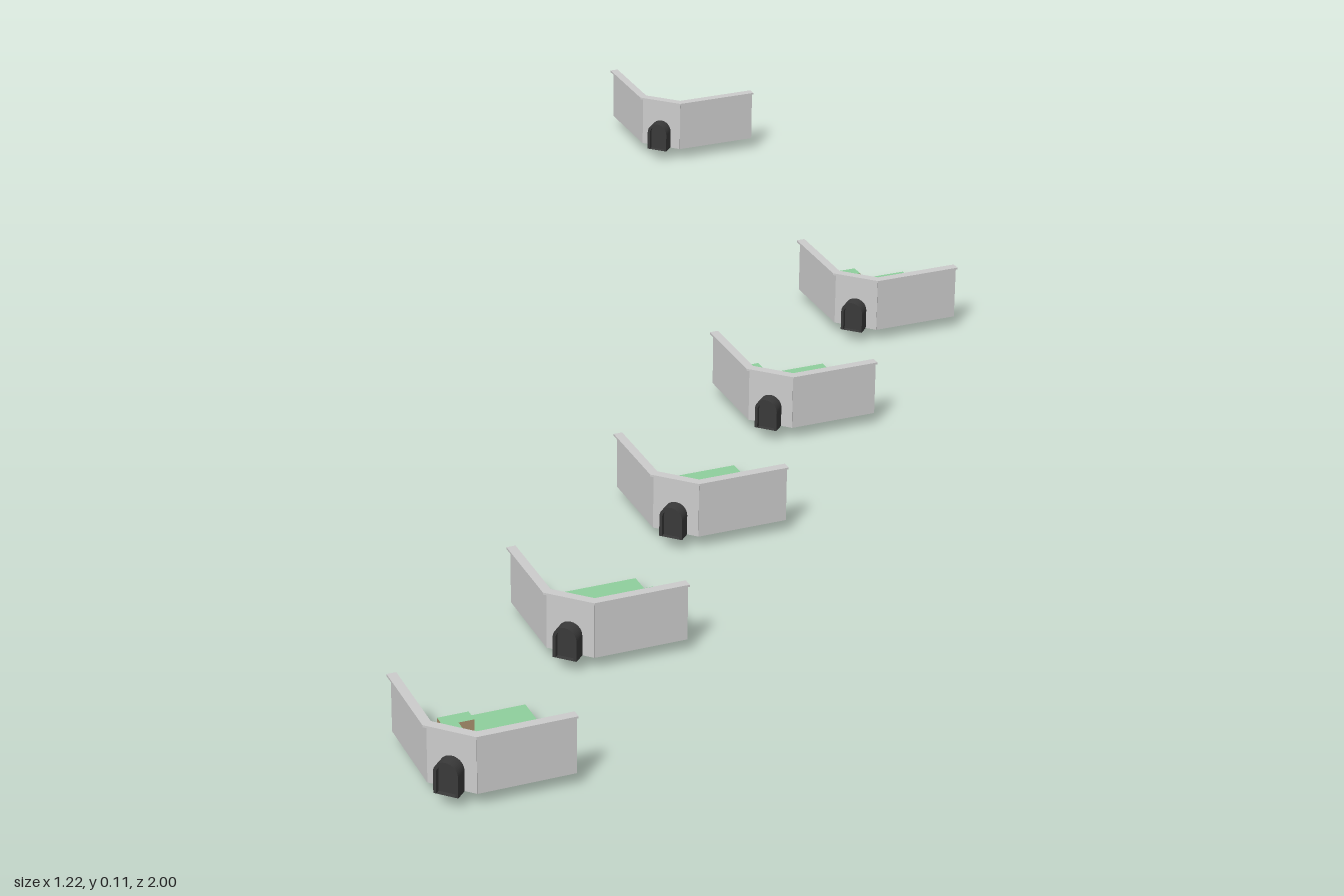
import * as THREE from 'three';

const SIZE = 0.187;        // tile edge
const CELL = 0.0213;       // terrain grid step
const FLOOR = 0.02;        // floor height above the ground
const WALL_H = 0.085;
const EDGE = 8.45;         // wall position, in cells from the open sides
const STEP = 0.259;        // spacing between tiles

const mat = (color) => new THREE.MeshStandardMaterial({ color, side: THREE.DoubleSide });
const grey = mat(0xcccccc);
const dark = mat(0x3a3a3a);
const green = mat(0x8fcf9c);
const tan = mat(0xa8906c);
const blue = mat(0x7db4d8);

function add(parent, name, geometry, material) {
  const mesh = new THREE.Mesh(geometry, material);
  mesh.name = name;
  parent.add(mesh);
  return mesh;
}

// Outline of (x, z) points as a shape
const outline = (pts) => new THREE.Shape(pts.map(([x, z]) => new THREE.Vector2(x, z)));

// Raise an (x, z) shape from y0 to y0 + h
function slab(shape, y0, h) {
  return new THREE.ExtrudeGeometry(shape, { depth: h, bevelEnabled: false })
    .rotateX(Math.PI / 2).translate(0, y0 + h, 0);
}

// Grid points count cells from the right edge and from the back edge
const grid = (pts) => pts.map(([i, j]) => [SIZE - i * CELL, j * CELL]);

// Wall line with its cut corner, shifted outward by d
const wallLine = (d) => [
  [SIZE, 0.18 + d], [0.055 - 0.414 * d, 0.18 + d],
  [0.007 - d, 0.132 + 0.414 * d], [0.007 - d, 0],
];
const band = (d) => outline([...wallLine(d), ...wallLine(-d).reverse()]);

// Door outline: straight sides and a round head
function arch(w, h, Type = THREE.Shape) {
  const r = w / 2, s = new Type();
  s.moveTo(-r, 0);
  s.lineTo(r, 0);
  s.lineTo(r, h - r);
  s.absarc(0, h - r, r, 0, Math.PI, false);
  s.lineTo(-r, 0);
  return s;
}

function extrude(shape, depth) {
  return new THREE.ExtrudeGeometry(shape, { depth, bevelEnabled: false, curveSegments: 12 });
}

// Entrance in the cut corner
function addEntrance(tile) {
  const entrance = new THREE.Group();
  entrance.name = 'cornerEntrance';
  entrance.position.set(0.031, 0, 0.156);
  entrance.rotation.y = -Math.PI / 4;
  tile.add(entrance);

  const w = 0.034;
  const panel = new THREE.Shape();
  panel.moveTo(-w, 0);
  panel.lineTo(w, 0);
  panel.lineTo(w, WALL_H);
  panel.lineTo(-w, WALL_H);
  panel.holes.push(arch(0.026, 0.042, THREE.Path));
  add(entrance, 'cornerWall', extrude(panel, 0.002).translate(0, 0, -0.001), grey);

  const frame = arch(0.034, 0.047);
  frame.holes.push(arch(0.026, 0.042, THREE.Path));
  add(entrance, 'doorFrame', extrude(frame, 0.02), dark);
  add(entrance, 'door', extrude(arch(0.026, 0.042), 0.003).translate(0, 0, 0.01), dark);
}

// Floor, walls, top rim and entrance shared by all tiles
function makeTile(name, x, z, holes = []) {
  const tile = new THREE.Group();
  tile.name = name;
  tile.position.set(x, FLOOR, z);
  const floor = outline([...wallLine(0), [SIZE, 0]]);
  for (const h of holes) {
    floor.holes.push(new THREE.Path(grid(h).map(([a, b]) => new THREE.Vector2(a, b))));
  }
  add(tile, 'floor', new THREE.ShapeGeometry(floor).rotateX(Math.PI / 2), green);

  const t = 0.002;
  add(tile, 'frontWall', new THREE.BoxGeometry(SIZE - 0.055, WALL_H, t)
    .translate((SIZE + 0.055) / 2, WALL_H / 2, 0.18), grey);
  add(tile, 'leftWall', new THREE.BoxGeometry(t, WALL_H, 0.132)
    .translate(0.007, WALL_H / 2, 0.066), grey);
  add(tile, 'wallRim', slab(band(0.0065), WALL_H - 0.003, 0.003), grey);
  addEntrance(tile);
  return tile;
}

// Stepped terrain with green top and earth sides
function addTerrace(tile, pts, level = 0) {
  add(tile, 'terrace', slab(outline(grid(pts)), level * 0.02, 0.02), [green, tan]);
}

// Sunken basin, four cells wide
function addPool(tile) {
  const w = 4 * CELL, cx = SIZE - w, cz = w, t = 0.001;
  for (const s of [-1, 1]) {
    add(tile, 'poolSide', new THREE.BoxGeometry(t, FLOOR, w)
      .translate(cx + s * w / 2, -FLOOR / 2, cz), grey);
    add(tile, 'poolEnd', new THREE.BoxGeometry(w, FLOOR, t)
      .translate(cx, -FLOOR / 2, cz + s * w / 2), grey);
  }
  add(tile, 'poolBottom', new THREE.BoxGeometry(w, t, w)
    .translate(cx, -FLOOR + t / 2, cz), grey);
  add(tile, 'water', new THREE.PlaneGeometry(w, w).rotateX(-Math.PI / 2)
    .translate(cx, -0.005, cz), blue);
}

export function createModel() {
  const model = new THREE.Group();
  model.name = 'terrainTiles';
  const E = EDGE;

  // Terraces of each tile along the diagonal: [outline, level]
  const terraces = [
    [
      [[[7, 2], [6, 2], [6, 1], [4, 1], [4, 2], [5, 2], [5, 3], [6, 3], [6, 5], [7, 5]], 0],
      [[[4, 7], [4, 6], [3, 6], [3, 5], [1, 5], [1, 7]], 0],
    ],
    [
      [[[0, 3], [1, 3], [1, 4], [2, 4], [2, 5], [3, 5], [3, 6], [4, 6], [4, 7], [5, 7], [5, E], [0, E]], 0],
      [[[0, 5], [1, 5], [1, 6], [2, 6], [2, 7], [3, 7], [3, E], [0, E]], 1],
    ],
    [],
    [
      [[[E, 4], [7, 4], [7, 2], [6, 2], [6, 1], [5, 1], [5, 0], [E, 0]], 0],
      [[[5, E], [5, 7], [4, 7], [4, 6], [2, 6], [2, 7], [1, 7], [1, E]], 0],
    ],
    [
      [[[E, 5], [7, 5], [7, 3], [6, 3], [6, 2], [5, 2], [5, 1], [4, 1], [4, 0], [E, 0]], 0],
      [[[0, 3], [1, 3], [1, 4], [2, 4], [2, 7], [4, 7], [4, E], [0, E]], 0],
    ],
  ];

  terraces.forEach((list, k) => {
    const isPool = k === 2;
    const holes = isPool ? [[[2, 2], [6, 2], [6, 6], [2, 6]]] : [];
    const tile = makeTile(isPool ? 'poolTile' : 'terraceTile',
      -0.61 + k * STEP, 0.813 - k * STEP, holes);
    list.forEach(([pts, level]) => addTerrace(tile, pts, level));
    if (isPool) addPool(tile);
    model.add(tile);
  });

  // Separate tile at the back with three coloured floor markers
  const markerTile = makeTile('markerTile', -0.61 + 4 * STEP, -1);
  for (const [i, j, color] of [[5.5, 2.5, 0x0000dd], [5.5, 5.5, 0xcccc00], [2.5, 5.5, 0xee0000]]) {
    const [[x, z]] = grid([[i, j]]);
    add(markerTile, 'floorMarker', new THREE.BoxGeometry(0.02, 0.002, 0.02)
      .translate(x, 0, z), mat(color));
  }
  model.add(markerTile);
  return model;
}
